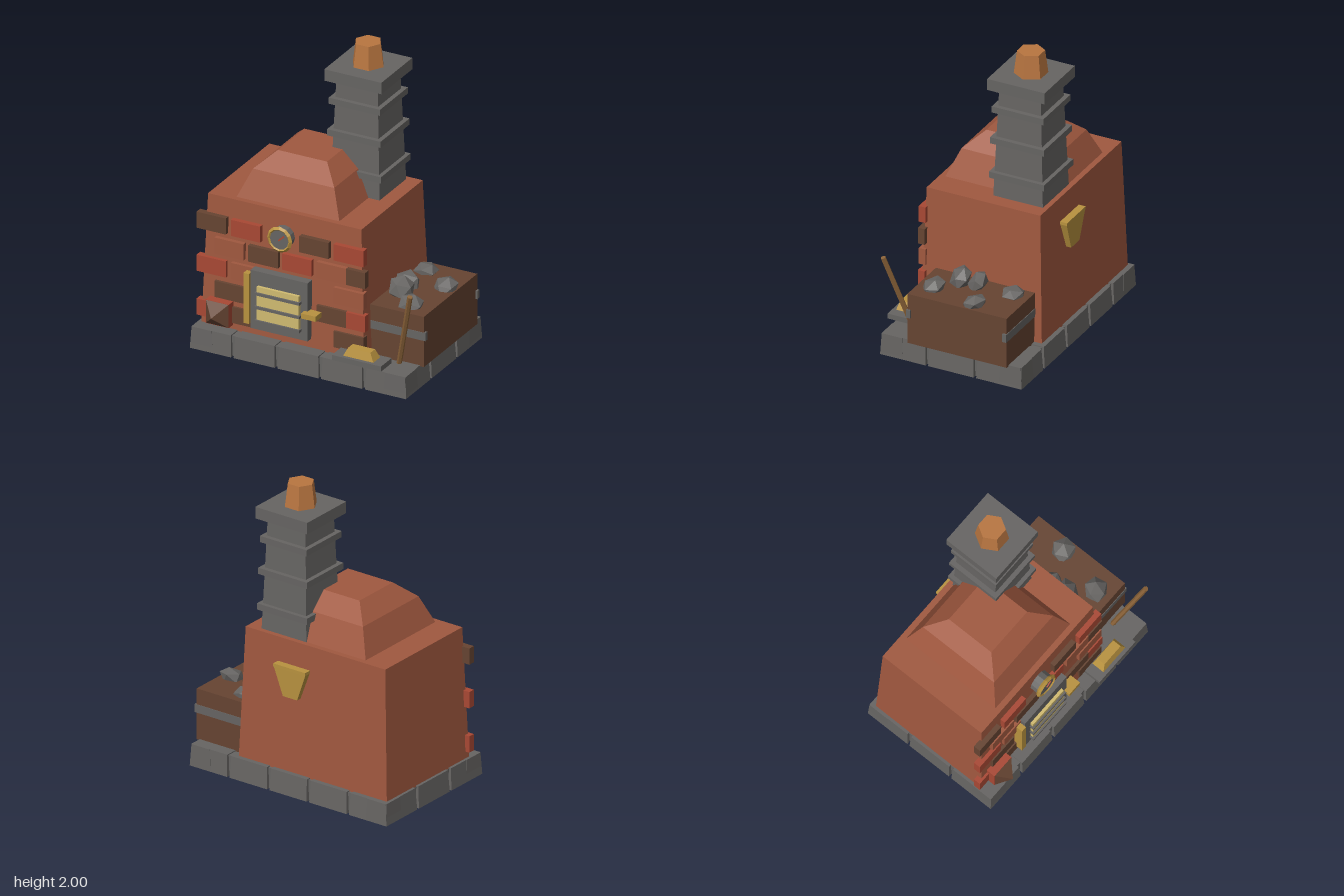
import * as THREE from 'three';

const mat = (name, color) => {
  const m = new THREE.MeshStandardMaterial({ color, flatShading: true });
  m.name = name;
  return m;
};

export function createModel() {
  const root = new THREE.Group();
  root.name = 'brickFurnace';
  const clay = mat('clay', 0xa0583f), brown = mat('darkBrown', 0x664432), red = mat('redBrick', 0xa84834);
  const stone = mat('stoneGrey', 0x666462), brass = mat('brass', 0xb8923f), glow = mat('paleGlow', 0xd0ba70);
  const copper = mat('copperPot', 0xb87540), wood = mat('wood', 0x8a6238);

  const add = (name, geo, material, x = 0, y = 0, z = 0, parent = root) => {
    const m = new THREE.Mesh(geo, material);
    m.name = name;
    m.position.set(x, y, z);
    parent.add(m);
    return m;
  };
  const group = (name) => {
    const g = new THREE.Group();
    g.name = name;
    root.add(g);
    return g;
  };
  // Box given by its limits on each axis
  const box = (name, material, x0, x1, y0, y1, z0, z1, parent) =>
    add(name, new THREE.BoxGeometry(x1 - x0, y1 - y0, z1 - z0), material,
      (x0 + x1) / 2, (y0 + y1) / 2, (z0 + z1) / 2, parent);
  // Box whose top has another size than its bottom; stands on y = 0
  const frustum = (wb, db, wt, dt, h) => {
    const g = new THREE.BoxGeometry(1, h, 1).translate(0, h / 2, 0);
    const p = g.attributes.position;
    for (let i = 0; i < p.count; i++) {
      const top = p.getY(i) > h / 2;
      p.setX(i, p.getX(i) * (top ? wt : wb));
      p.setZ(i, p.getZ(i) * (top ? dt : db));
    }
    g.computeVertexNormals();
    return g;
  };

  // Stone base: core with a ring of tapered blocks
  const base = group('base');
  box('baseCore', stone, -0.75, 0.715, 0, 0.138, -0.485, 0.45, base);
  for (let i = 0; i < 5; i++) {
    const x = -0.63 + i * 0.3065;
    for (const z of [-0.43, 0.395])
      add('baseBlock', frustum(0.287, 0.16, 0.275, 0.14, 0.145), stone, x, 0, z, base);
  }
  for (let i = 0; i < 3; i++) {
    const z = -0.352 + i * 0.334;
    for (const x of [-0.695, 0.66])
      add('baseBlock', frustum(0.16, 0.316, 0.14, 0.304, 0.145), stone, x, 0, z, base);
  }

  // Furnace body and stepped dome
  add('body', frustum(1.14, 0.845, 1.075, 0.79, 0.885), clay, -0.177, 0.135, -0.046);
  add('domeLower', frustum(0.72, 0.715, 0.57, 0.57, 0.18), clay, -0.175, 1.02, -0.046);
  add('domeUpper', frustum(0.57, 0.57, 0.345, 0.34, 0.105), clay, -0.175, 1.2, -0.046);

  // Chimney with bands, cap and pot
  const chimney = group('chimney');
  chimney.position.set(0.091, 0, -0.235);
  add('stack', frustum(0.345, 0.345, 0.29, 0.29, 0.76), stone, 0, 1.015, 0, chimney);
  for (const [y, w] of [[1.15, 0.385], [1.39, 0.375], [1.605, 0.36]])
    add('chimneyBand', new THREE.BoxGeometry(w, 0.042, w), stone, 0, y + 0.021, 0, chimney);
  add('chimneyCap', new THREE.BoxGeometry(0.4, 0.078, 0.4), stone, 0, 1.806, 0, chimney);
  add('chimneyPot', new THREE.CylinderGeometry(0.087, 0.107, 0.155, 6).rotateY(Math.PI / 6),
    copper, 0, 1.9225, 0, chimney);

  // Front bricks: row bottom, then left edge, right edge and material of each
  const bricks = group('bricks');
  const rows = [
    [0.785, [-0.775, -0.57, brown], [-0.535, -0.33, red], [-0.055, 0.15, brown], [0.185, 0.395, red]],
    [0.637, [-0.65, -0.445, clay], [-0.415, -0.205, brown], [-0.175, 0.03, red], [0.065, 0.272, clay], [0.272, 0.405, brown]],
    [0.49, [-0.775, -0.57, red], [-0.535, -0.33, clay], [0.185, 0.395, clay]],
    [0.34, [-0.65, -0.445, brown], [0.065, 0.272, brown], [0.272, 0.405, red]],
    [0.19, [-0.775, -0.57, red], [-0.535, -0.33, brown], [0.185, 0.395, brown]],
  ];
  for (const [y, ...list] of rows)
    for (const [x0, x1, m] of list) box('brick', m, x0, x1, y, y + 0.11, 0.34, 0.387, bricks);

  // Fire door with glowing slots, bars, hinge and handle
  const door = group('fireDoor');
  box('doorPlate', stone, -0.378, 0.022, 0.205, 0.603, 0.35, 0.42, door);
  box('glowPanel', glow, -0.325, -0.03, 0.275, 0.508, 0.41, 0.44, door);
  for (const y of [0.265, 0.36, 0.453])
    box('grateBar', stone, -0.335, -0.02, y, y + 0.018, 0.415, 0.452, door);
  box('hinge', brass, -0.422, -0.384, 0.235, 0.577, 0.37, 0.432, door);
  box('handle', brass, -0.002, 0.1, 0.375, 0.41, 0.385, 0.462, door);

  // Pressure gauge
  const gauge = group('gauge');
  gauge.position.set(-0.175, 0.857, 0);
  add('gaugeDial', new THREE.CylinderGeometry(0.072, 0.072, 0.08, 12).rotateX(Math.PI / 2), stone, 0, 0, 0.385, gauge);
  add('gaugeRing', new THREE.TorusGeometry(0.073, 0.015, 4, 12), brass, 0, 0, 0.418, gauge);
  add('needle', new THREE.BoxGeometry(0.05, 0.01, 0.008), red, 0.016, 0.014, 0.429, gauge).rotation.z = 0.75;

  // Pointed stud at the lower front
  box('studPlate', red, -0.688, -0.525, 0.173, 0.333, 0.35, 0.432);
  add('stud', frustum(0.157, 0.157, 0.001, 0.001, 0.08).rotateX(Math.PI / 2), brown, -0.606, 0.253, 0.432);

  // Coal bin with straps and lumps
  const bin = group('coalBin');
  box('binBox', brown, 0.37, 0.757, 0.138, 0.482, -0.415, 0.275, bin);
  for (const z of [-0.405, 0.265])
    box('binStrap', stone, 0.36, 0.77, 0.32, 0.375, z - 0.014, z + 0.014, bin);
  const lumps = [[0.46, 0.485, -0.305, 0.08], [0.68, 0.49, -0.15, 0.085], [0.46, 0.505, -0.06, 0.086],
    [0.48, 0.52, 0.05, 0.088], [0.61, 0.49, 0.17, 0.085]];
  lumps.forEach(([x, y, z, r], i) => {
    const lump = add('coalLump', new THREE.IcosahedronGeometry(r, 0), stone, x, y, z, bin);
    lump.scale.y = 0.65;
    lump.rotation.set(0.3 * i, 1.1 * i, 0.2 * i);
  });

  // Leaning poker
  const a = new THREE.Vector3(0.603, 0.145, 0.308), b = new THREE.Vector3(0.753, 0.692, 0.446);
  const dir = b.clone().sub(a);
  const poker = add('poker', new THREE.CylinderGeometry(0.017, 0.017, dir.length(), 6), wood);
  poker.position.copy(a).lerp(b, 0.5);
  poker.quaternion.setFromUnitVectors(new THREE.Vector3(0, 1, 0), dir.normalize());

  // Tray with ingot
  box('tray', stone, 0.238, 0.582, 0.165, 0.2, 0.368, 0.505);
  add('ingot', frustum(0.212, 0.09, 0.155, 0.06, 0.055), brass, 0.409, 0.2, 0.436);

  // Brass hopper plate on the back
  add('backPlate', frustum(0.11, 0.05, 0.245, 0.06, 0.19), brass, -0.015, 0.652, -0.462);
  box('backPlateRim', brass, -0.138, 0.108, 0.838, 0.858, -0.495, -0.43);
  return root;
}
